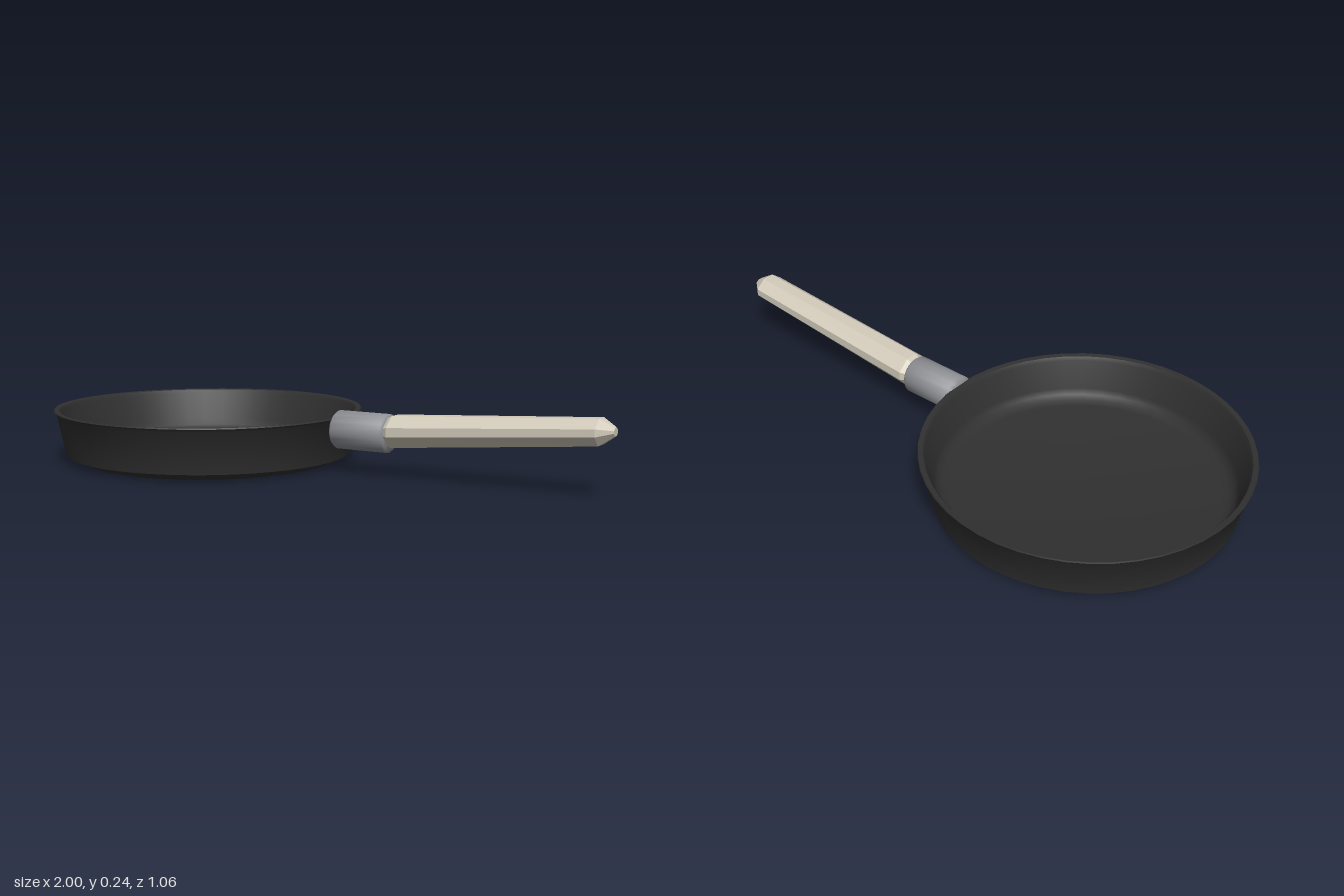
import * as THREE from 'three';
import { toCreasedNormals } from 'three/addons/utils/BufferGeometryUtils.js';

const material = (name, color) => {
  const m = new THREE.MeshStandardMaterial({ color });
  m.name = name;
  return m;
};

// Revolves a profile of [radius, height] points, listed from bottom to top on the outside
function turned(profile, sides, crease) {
  const points = profile.map(([r, y]) => new THREE.Vector2(r, y));
  return toCreasedNormals(new THREE.LatheGeometry(points, sides), crease);
}

// Lofts rings of equal point count along x and closes both ends
function loft(rings) {
  const n = rings[0].length;
  const pos = [];
  const tri = (a, b, c) => pos.push(...a, ...b, ...c);
  for (let i = 0; i < rings.length - 1; i++) {
    for (let j = 0; j < n; j++) {
      const k = (j + 1) % n;
      const [a, b, c, d] = [rings[i][j], rings[i + 1][j], rings[i + 1][k], rings[i][k]];
      tri(a, c, b);
      tri(a, d, c);
    }
  }
  const first = rings[0], last = rings[rings.length - 1];
  for (let j = 1; j < n - 1; j++) {
    tri(first[0], first[j + 1], first[j]);
    tri(last[0], last[j], last[j + 1]);
  }
  const g = new THREE.BufferGeometry();
  g.setAttribute('position', new THREE.Float32BufferAttribute(pos, 3));
  g.computeVertexNormals();
  return g;
}

export function createModel() {
  const iron = material('black iron', 0x303030);
  const steel = material('grey steel', 0x909296);
  const wood = material('pale handle', 0xd2cbbb);
  const model = new THREE.Group();
  model.name = 'fryingPan';
  const add = (name, geometry, mat) => {
    const mesh = new THREE.Mesh(geometry, mat);
    mesh.name = name;
    model.add(mesh);
    return mesh;
  };

  // Pan: bevelled foot, flared wall, thin lip and softly rounded inner corner
  const pan = add('pan', turned([
    [0, 0], [0.43, 0], [0.489, 0.025], [0.518, 0.165], [0.528, 0.175], [0.526, 0.179],
    [0.51, 0.177], [0.502, 0.165], [0.479, 0.067], [0.469, 0.048], [0.453, 0.036],
    [0.43, 0.03], [0, 0.03],
  ], 48, 0.7), iron);
  pan.position.x = -0.472;

  // Collar joining pan and handle, with small bevels at both ends
  const collar = add('collar', turned([
    [0, 0], [0.057, 0], [0.063, 0.007], [0.063, 0.189], [0.057, 0.196], [0, 0.196],
  ], 32, 0.9), steel);
  collar.rotation.z = -Math.PI / 2;
  collar.position.set(0.05, 0.14, 0);

  // Handle: eight-sided, rising and tapering to a blunt point
  const half = [[0.022, 0.05], [0.06, 0.016], [0.06, -0.014], [0.029, -0.052]];
  const section = [...half, ...half.map(([z, y]) => [-z, y]).reverse()];
  const ring = (x, y, sz, sy) => section.map(([z, h]) => [x, y + h * sy, z * sz]);
  add('handle', loft([
    ring(0.245, 0.15, 0.85, 0.82),
    ring(0.262, 0.151, 1.02, 1),
    ring(0.955, 0.203, 0.92, 0.8),
    ring(1.0, 0.205, 0.3, 0.25),
  ]), wood);

  return model;
}
